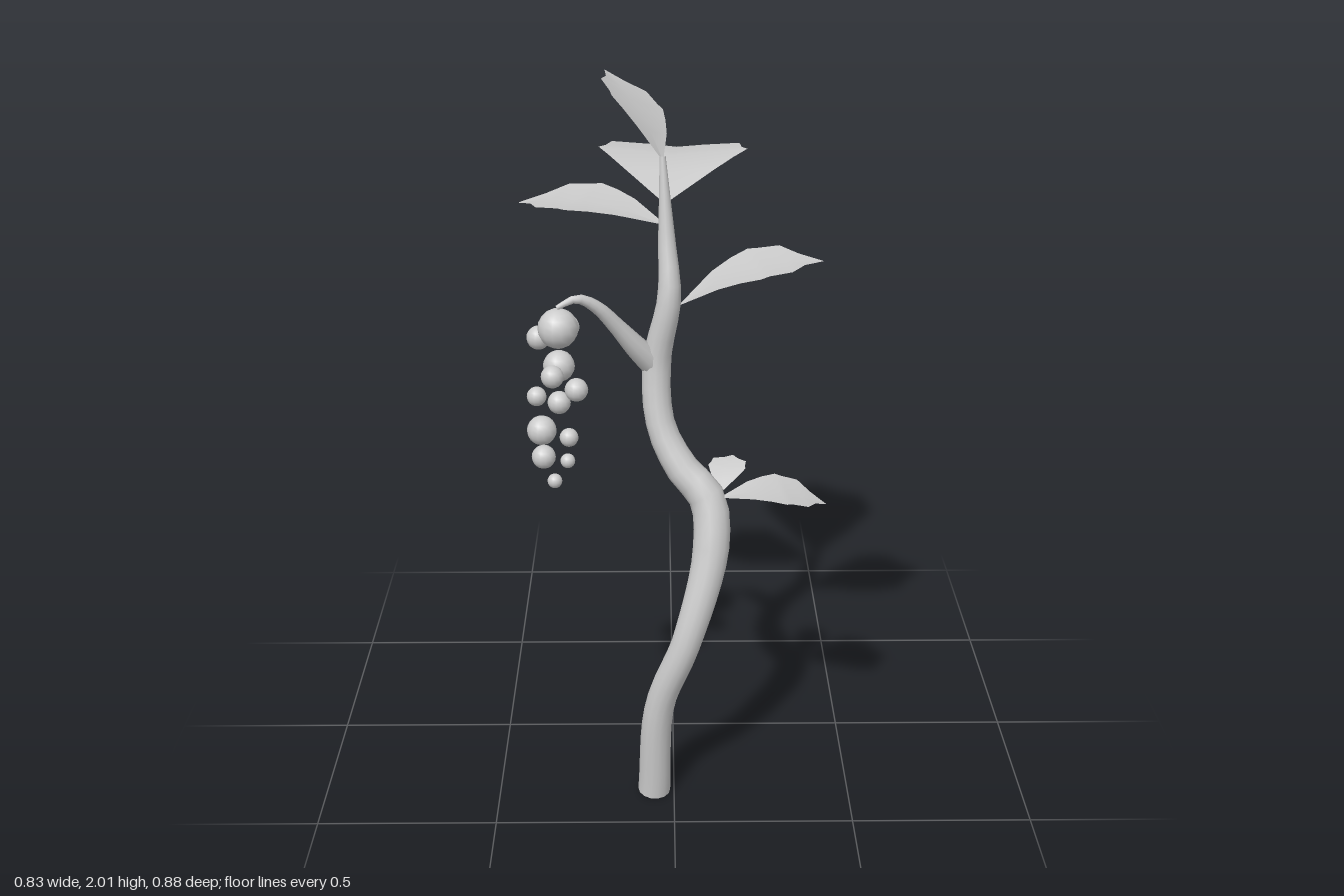
import * as THREE from 'three';

const material = new THREE.MeshStandardMaterial({ color: 0xcccccc });
const leafMaterial = new THREE.MeshStandardMaterial({ color: 0xcccccc, side: THREE.DoubleSide });
const V = (a) => new THREE.Vector3(...a);

function mesh(name, geometry, mat = material) {
  const m = new THREE.Mesh(geometry, mat);
  m.name = name;
  return m;
}

// Tube through [x, y, z, radius] points, tapered by moving each ring towards the path
function taperedTube(points, segments, sides) {
  const curve = new THREE.CatmullRomCurve3(points.map((p) => V(p.slice(0, 3))));
  const geometry = new THREE.TubeGeometry(curve, segments, 1, sides);
  const pos = geometry.attributes.position;
  const v = new THREE.Vector3();
  for (let i = 0; i < pos.count; i++) {
    const u = Math.floor(i / (sides + 1)) / segments;
    const t = curve.getUtoTmapping(u) * (points.length - 1);
    const k = Math.min(Math.floor(t), points.length - 2);
    const r = THREE.MathUtils.lerp(points[k][3], points[k + 1][3], t - k);
    const c = curve.getPointAt(u);
    v.fromBufferAttribute(pos, i).sub(c).multiplyScalar(r).add(c);
    pos.setXYZ(i, v.x, v.y, v.z);
  }
  return geometry;
}

// Toothed half outline: [distance along the midrib, share of the half width]
const OUTLINE = [[0, 0.02], [0.27, 0.58], [0.42, 0.82], [0.55, 1], [0.61, 0.92], [0.76, 0.88], [0.86, 0.38], [1, 0]];

// Leaf from base to tip: arched along the midrib, with both edges folded up
function leaf(name, { base, tip, arch, fold, across }) {
  const a = V(base), b = V(tip);
  const dir = b.clone().sub(a);
  const half = 0.34 * dir.length();
  const side = across ? V(across) : new THREE.Vector3(-dir.z, 0, dir.x);
  side.setLength(half);
  const up = side.clone().cross(dir).normalize();
  if (up.y < 0) up.negate();
  const positions = [], index = [];
  OUTLINE.forEach(([u, w], row) => {
    const mid = a.clone().addScaledVector(dir, u).addScaledVector(up, 4 * u * (1 - u) * arch);
    for (const s of [-1, 0, 1]) {
      const p = mid.clone().addScaledVector(side, s * w).addScaledVector(up, Math.abs(s) * w * fold);
      positions.push(p.x, p.y, p.z);
    }
    if (row === 0) return;
    for (const c of [0, 1]) {
      const i = (row - 1) * 3 + c;
      index.push(i, i + 1, i + 4, i, i + 4, i + 3);
    }
  });
  const geometry = new THREE.BufferGeometry();
  geometry.setAttribute('position', new THREE.Float32BufferAttribute(positions, 3));
  geometry.setIndex(index);
  geometry.computeVertexNormals();
  return mesh(name, geometry, leafMaterial);
}

export function createModel() {
  const model = new THREE.Group();
  model.name = 'vine';

  // Winding trunk with a closed foot
  model.add(mesh('trunk', taperedTube([
    [-0.057, 0, 0.345, 0.046], [-0.04, 0.3, 0.375, 0.041], [0.035, 0.52, 0.4, 0.041],
    [0.1, 0.78, 0.355, 0.05], [0.09, 0.91, 0.315, 0.05], [0.02, 0.99, 0.285, 0.045],
    [-0.035, 1.1, 0.25, 0.039], [-0.045, 1.27, 0.222, 0.039], [-0.012, 1.45, 0.228, 0.032],
    [-0.018, 1.6, 0.193, 0.023], [-0.028, 1.81, 0.152, 0.008],
  ], 40, 14)));
  const foot = mesh('trunkFoot', new THREE.CircleGeometry(0.046, 14));
  foot.rotation.x = Math.PI / 2;
  foot.position.set(-0.057, 0.001, 0.345);
  model.add(foot);

  // Stalk that carries the fruit
  model.add(mesh('fruitStalk', taperedTube([
    [-0.05, 1.26, 0.22, 0.036], [-0.1, 1.32, 0.243, 0.03], [-0.15, 1.385, 0.263, 0.022],
    [-0.2, 1.445, 0.285, 0.017], [-0.25, 1.474, 0.303, 0.012], [-0.303, 1.455, 0.32, 0.006],
  ], 16, 10)));

  // Hanging bunch of berries: x, y, z, radius
  const bunch = new THREE.Group();
  bunch.name = 'berryBunch';
  [
    [-0.3, 1.4, 0.32, 0.053], [-0.28, 1.375, 0.237, 0.032], [-0.355, 1.355, 0.265, 0.032],
    [-0.315, 1.285, 0.37, 0.03], [-0.302, 1.285, 0.29, 0.042], [-0.255, 1.237, 0.34, 0.031],
    [-0.36, 1.215, 0.33, 0.026], [-0.305, 1.175, 0.275, 0.031], [-0.277, 1.104, 0.345, 0.025],
    [-0.354, 1.092, 0.268, 0.04], [-0.345, 1.05, 0.348, 0.032], [-0.285, 1.012, 0.29, 0.02],
    [-0.32, 0.962, 0.31, 0.02],
  ].forEach(([x, y, z, r]) => {
    const berry = mesh('berry', new THREE.SphereGeometry(r, 14, 10));
    berry.position.set(x, y, z);
    bunch.add(berry);
  });
  model.add(bunch);

  // Leaves
  model.add(
    leaf('backLeaf', { base: [-0.022, 1.69, 0.165], tip: [0.02, 1.69, -0.44], arch: 0.045, fold: 0.02 }),
    leaf('upperRightLeaf', { base: [-0.022, 1.635, 0.18], tip: [-0.415, 1.66, 0.052], arch: 0.03, fold: 0.015 }),
    leaf('upperLeftLeaf', { base: [0.015, 1.43, 0.225], tip: [0.395, 1.54, 0.195], arch: 0.04, fold: 0.01 }),
    leaf('lowerLeftLeaf', { base: [0.125, 0.915, 0.32], tip: [0.415, 0.88, 0.29], arch: 0.027, fold: 0.01 }),
    leaf('smallLowerLeaf', { base: [0.125, 0.92, 0.3], tip: [0.165, 0.97, 0.16], arch: 0.01, fold: 0.01 }),
    leaf('topLeaf', {
      base: [-0.028, 1.8, 0.155], tip: [-0.18, 2, -0.02], arch: 0.02, fold: 0.01, across: [-0.135, 0.07, 0.15],
    }),
  );
  return model;
}
